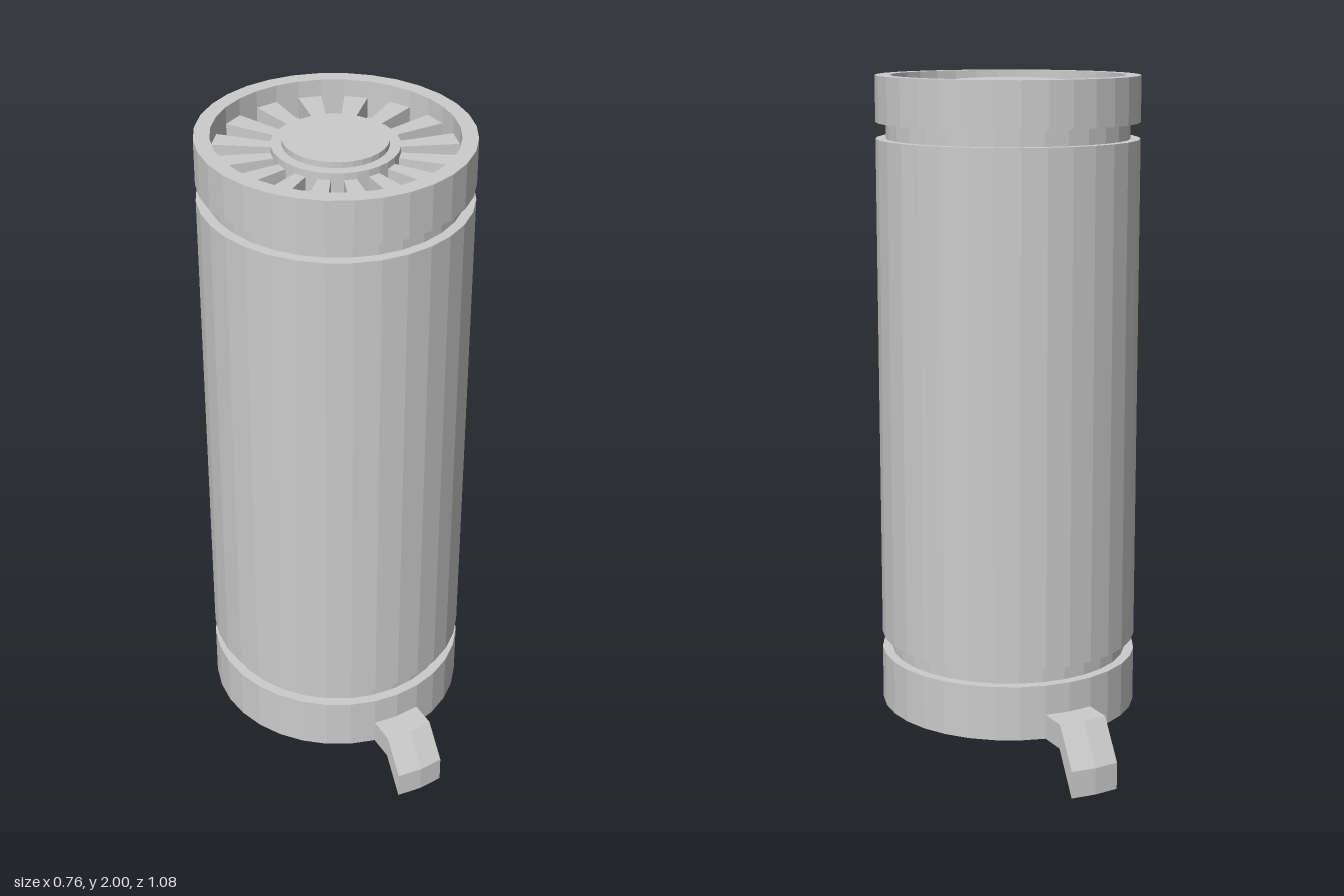
import * as THREE from 'three';

const SIDES = 32;
const STEP = (Math.PI * 2) / SIDES;
const R = 0.381, GROOVE = 0.352, RIM = 0.337, HUB = 0.175;
const DEPTH_SCALE = 1.02, CENTER_Z = 0.004;
const FLOOR = 1.89, SLAT_TOP = 1.95;

const material = new THREE.MeshStandardMaterial({ color: 0xcccccc, flatShading: true });

function addMesh(parent, geometry, name) {
  const mesh = new THREE.Mesh(geometry, material);
  mesh.name = name;
  parent.add(mesh);
  return mesh;
}

// Turned part from [radius, height] pairs, listed bottom to top on the outside
function turned(parent, name, profile) {
  const points = profile.map(([r, y]) => new THREE.Vector2(r, y));
  return addMesh(parent, new THREE.LatheGeometry(points, SIDES), name);
}

// Wedge-shaped grille slat covering one sector
function slatGeometry() {
  const at = (r, a) => new THREE.Vector2(r * Math.sin(a), -r * Math.cos(a));
  const shape = new THREE.Shape([at(HUB, 0), at(RIM, 0), at(RIM, STEP), at(HUB, STEP)]);
  const geometry = new THREE.ExtrudeGeometry(shape, { depth: SLAT_TOP - FLOOR, bevelEnabled: false });
  return geometry.rotateX(-Math.PI / 2).translate(0, FLOOR, 0);
}

// Bent foot: a [z, y] profile swept over three sections that follow the body's facets
function footGeometry(tipY) {
  const profile = [
    [0.36, 0.197], [0.47, 0.197], [0.54, tipY + 0.08],
    [0.54, tipY], [0.468, 0.124], [0.36, 0.124],
  ];
  const sections = [[-0.074, -0.007], [0, 0], [0.074, -0.007]].map(([x, dz]) =>
    profile.map(([z, y]) => [x, y, z + dz]));
  const positions = [];
  const quad = (a, b, c, d) => positions.push(...a, ...b, ...c, ...a, ...c, ...d);
  for (let i = 0; i < 2; i++) {
    const a = sections[i], b = sections[i + 1];
    for (let j = 0; j < 6; j++) {
      const k = (j + 1) % 6;
      quad(a[j], a[k], b[k], b[j]);
    }
  }
  const [left, , right] = sections;
  for (const [a, b, c, d] of [[0, 1, 4, 5], [1, 2, 3, 4]]) {
    quad(right[a], right[b], right[c], right[d]);
    quad(left[d], left[c], left[b], left[a]);
  }
  const geometry = new THREE.BufferGeometry();
  geometry.setAttribute('position', new THREE.Float32BufferAttribute(positions, 3));
  geometry.computeVertexNormals();
  return geometry;
}

export function createModel() {
  const model = new THREE.Group();
  model.name = 'canister';

  const can = new THREE.Group();
  can.name = 'can';
  can.scale.z = DEPTH_SCALE;
  can.position.z = CENTER_Z;
  model.add(can);

  // Base, main tube and top collar, separated by narrow grooves
  turned(can, 'base', [[0, 0.124], [R, 0.124], [R, 0.286], [GROOVE, 0.286]]);
  turned(can, 'lowerGroove', [[GROOVE, 0.286], [GROOVE, 0.334]]);
  turned(can, 'mainTube', [[GROOVE, 0.334], [R, 0.334], [R, 1.82], [GROOVE, 1.82]]);
  turned(can, 'upperGroove', [[GROOVE, 1.82], [GROOVE, 1.867]]);
  turned(can, 'topCollar', [[GROOVE, 1.867], [R, 1.867], [R, 2], [RIM, 2], [RIM, FLOOR]]);

  // Recessed top with a stepped hub
  turned(can, 'recessFloor', [[RIM, FLOOR], [HUB, FLOOR]]);
  turned(can, 'hub', [[HUB, FLOOR], [HUB, 1.97], [0.145, 1.97], [0.145, 1.987], [0, 1.987]]);

  // Radial slats on every second sector
  const grille = new THREE.Group();
  grille.name = 'grille';
  can.add(grille);
  const slat = slatGeometry();
  for (let i = 0; i < SIDES; i += 2) addMesh(grille, slat, 'slat').rotation.y = i * STEP;

  // Feet, the rear one reaching slightly lower
  addMesh(model, footGeometry(0.018), 'frontFoot');
  addMesh(model, footGeometry(0), 'rearFoot').rotation.y = Math.PI;

  return model;
}
